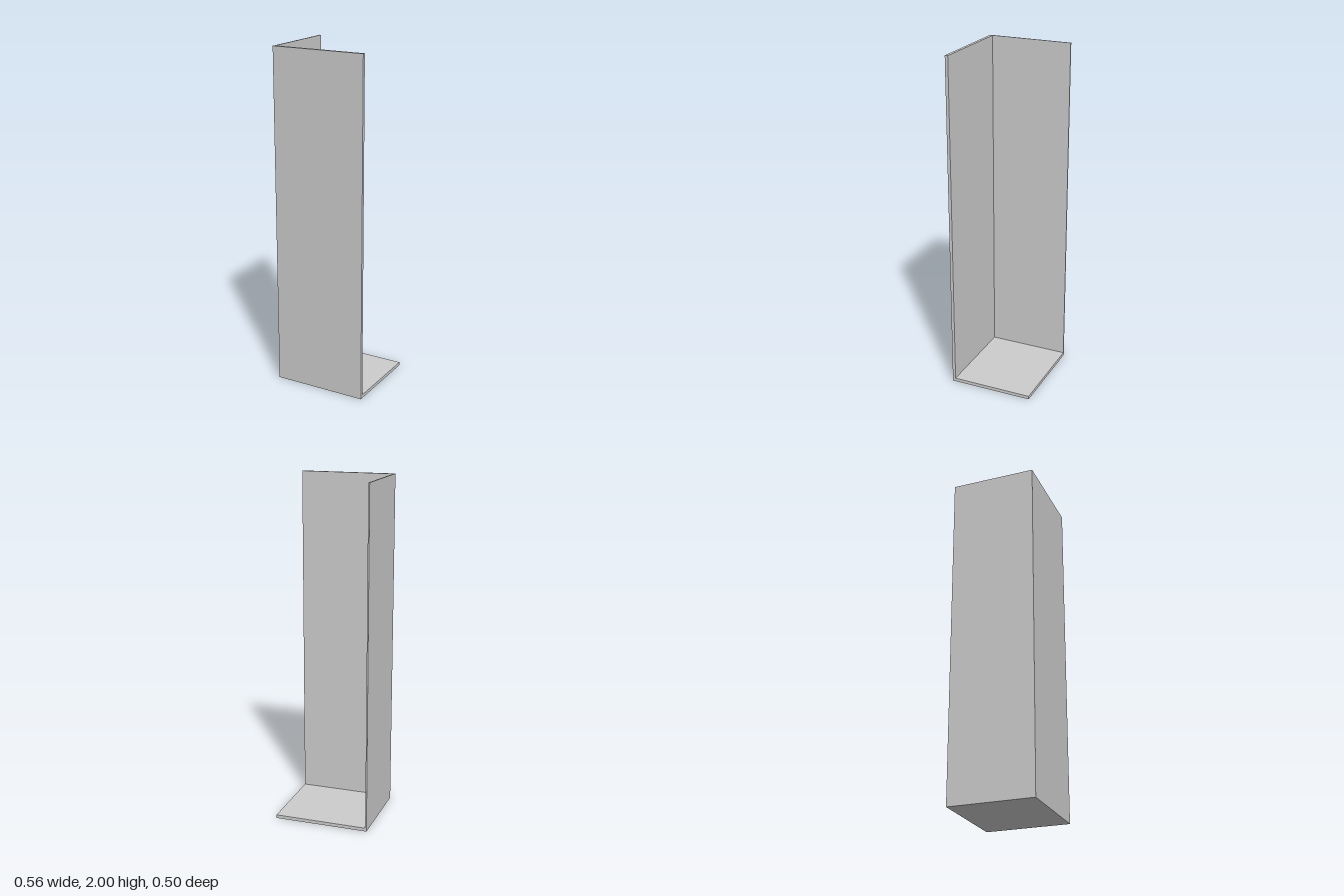
import * as THREE from 'three';

// Overall size and panel thicknesses
const W = 0.56, H = 2, D = 0.5;
const FRONT = 0.018, SIDE = 0.008, BASE = 0.02;

export function createModel() {
  const group = new THREE.Group();
  group.name = 'cornerPanel';
  const material = new THREE.MeshStandardMaterial({ color: 0xcccccc, flatShading: true });

  // Box given by its minimum and maximum corners
  const panel = (name, min, max) => {
    const size = max.map((v, i) => v - min[i]);
    const mesh = new THREE.Mesh(new THREE.BoxGeometry(...size), material);
    mesh.position.set(...max.map((v, i) => (v + min[i]) / 2));
    mesh.name = name;
    group.add(mesh);
  };

  // Full-height front panel
  panel('frontPanel', [-W / 2, 0, D / 2 - FRONT], [W / 2, H, D / 2]);
  // Thin side wall running back from the front panel
  panel('sidePanel', [-W / 2, 0, -D / 2], [-W / 2 + SIDE, H, D / 2 - FRONT]);
  // Floor plate in the corner between them
  panel('basePlate', [-W / 2 + SIDE, 0, -D / 2], [W / 2, BASE, D / 2 - FRONT]);

  return group;
}
